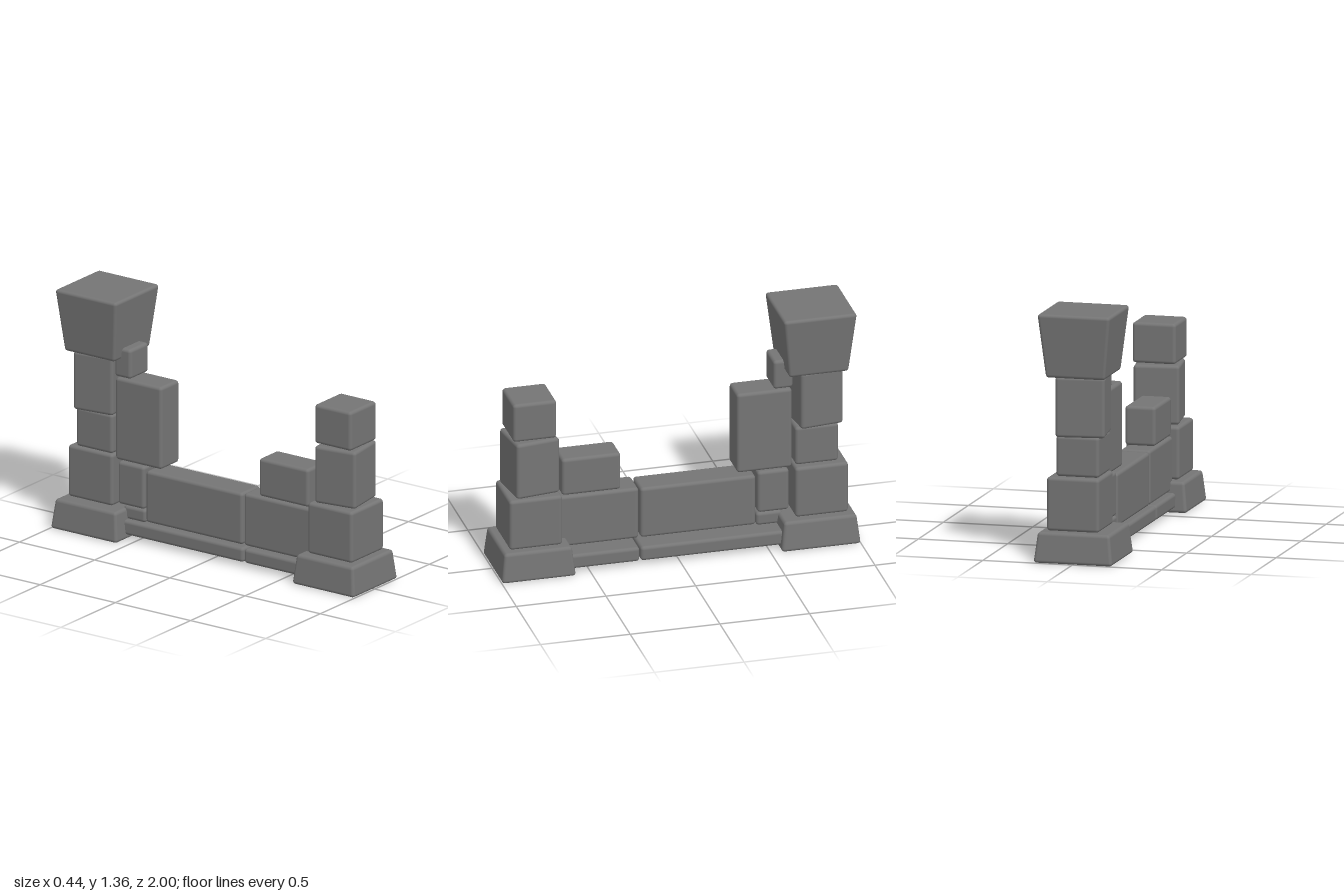
import * as THREE from 'three';
import { RoundedBoxGeometry } from 'three/addons/geometries/RoundedBoxGeometry.js';

const material = new THREE.MeshStandardMaterial({ color: 0x757575 });

// Rounded stone given by its [min, max] extents; bottom and top scale its footprint.
function stone(name, [x0, x1], [y0, y1], [z0, z1], { bottom = 1, top = 1, turn = 0 } = {}) {
  const w = x1 - x0, h = y1 - y0, d = z1 - z0;
  const geometry = new RoundedBoxGeometry(w, h, d, 3, 0.018);
  if (bottom !== 1 || top !== 1) taper(geometry, h, bottom, top);
  const mesh = new THREE.Mesh(geometry, material);
  mesh.name = name;
  mesh.position.set((x0 + x1) / 2, (y0 + y1) / 2, (z0 + z1) / 2);
  mesh.rotation.y = turn;
  return mesh;
}

// Scales the cross-section linearly with height and tilts the normals to match.
function taper(geometry, h, bottom, top) {
  const p = geometry.attributes.position, n = geometry.attributes.normal;
  const slope = (top - bottom) / h;
  const v = new THREE.Vector3();
  for (let i = 0; i < p.count; i++) {
    const x = p.getX(i), y = p.getY(i), z = p.getZ(i);
    const s = bottom + slope * (y + h / 2);
    v.set(n.getX(i) / s, n.getY(i), n.getZ(i) / s);
    v.y -= slope * (x * v.x + z * v.z);
    v.normalize();
    n.setXYZ(i, v.x, v.y, v.z);
    p.setXYZ(i, x * s, y, z * s);
  }
}

function section(name, stones) {
  const group = new THREE.Group();
  group.name = name;
  group.add(...stones);
  return group;
}

export function createModel() {
  const model = new THREE.Group();
  model.name = 'ruinedWall';
  const wallX = [-0.1, 0.07];
  const plinthX = [-0.13, 0.177];

  // Broken front pillar
  model.add(section('frontPillar', [
    stone('frontBase', [-0.195, 0.215], [0, 0.167], [0.587, 1], { top: 0.91 }),
    stone('frontLowerBlock', [-0.136, 0.162], [0.17, 0.46], [0.65, 0.945]),
    stone('frontMiddleBlock', [-0.11, 0.14], [0.463, 0.787], [0.67, 0.92], { turn: 0.14 }),
    stone('frontTopBlock', [-0.108, 0.134], [0.795, 1.017], [0.675, 0.917]),
  ]));

  // Complete back pillar with its flared capital
  model.add(section('backPillar', [
    stone('backBase', [-0.221, 0.22], [0, 0.167], [-1, -0.558], { top: 0.91 }),
    stone('backLowerBlock', [-0.133, 0.16], [0.17, 0.463], [-0.945, -0.65]),
    stone('backNarrowBlock', [-0.12, 0.12], [0.462, 0.685], [-0.9, -0.66]),
    stone('backUpperBlock', [-0.139, 0.131], [0.68, 1.012], [-0.914, -0.67], { turn: 0.12 }),
    stone('capital', [-0.203, 0.203], [1.008, 1.36], [-0.983, -0.575], { bottom: 0.81 }),
  ]));

  // Low plinth joining the pillars
  model.add(section('plinth', [
    stone('frontPlinth', plinthX, [0.025, 0.107], [0.223, 0.62]),
    stone('backPlinth', plinthX, [0.025, 0.107], [-0.6, 0.217]),
  ]));

  // Remaining wall stones
  model.add(section('wall', [
    stone('frontWallBlock', wallX, [0.112, 0.41], [0.2, 0.652]),
    stone('frontWallCap', wallX, [0.415, 0.63], [0.3, 0.628]),
    stone('middleWallBlock', wallX, [0.112, 0.405], [-0.452, 0.19]),
    stone('backWallFoot', wallX, [0.105, 0.18], [-0.6, -0.455]),
    stone('backWallBlock', wallX, [0.18, 0.422], [-0.638, -0.463]),
    stone('tallWallBlock', wallX, [0.43, 0.897], [-0.655, -0.348]),
    stone('smallWallBlock', wallX, [0.903, 1.07], [-0.66, -0.552]),
  ]));

  return model;
}
